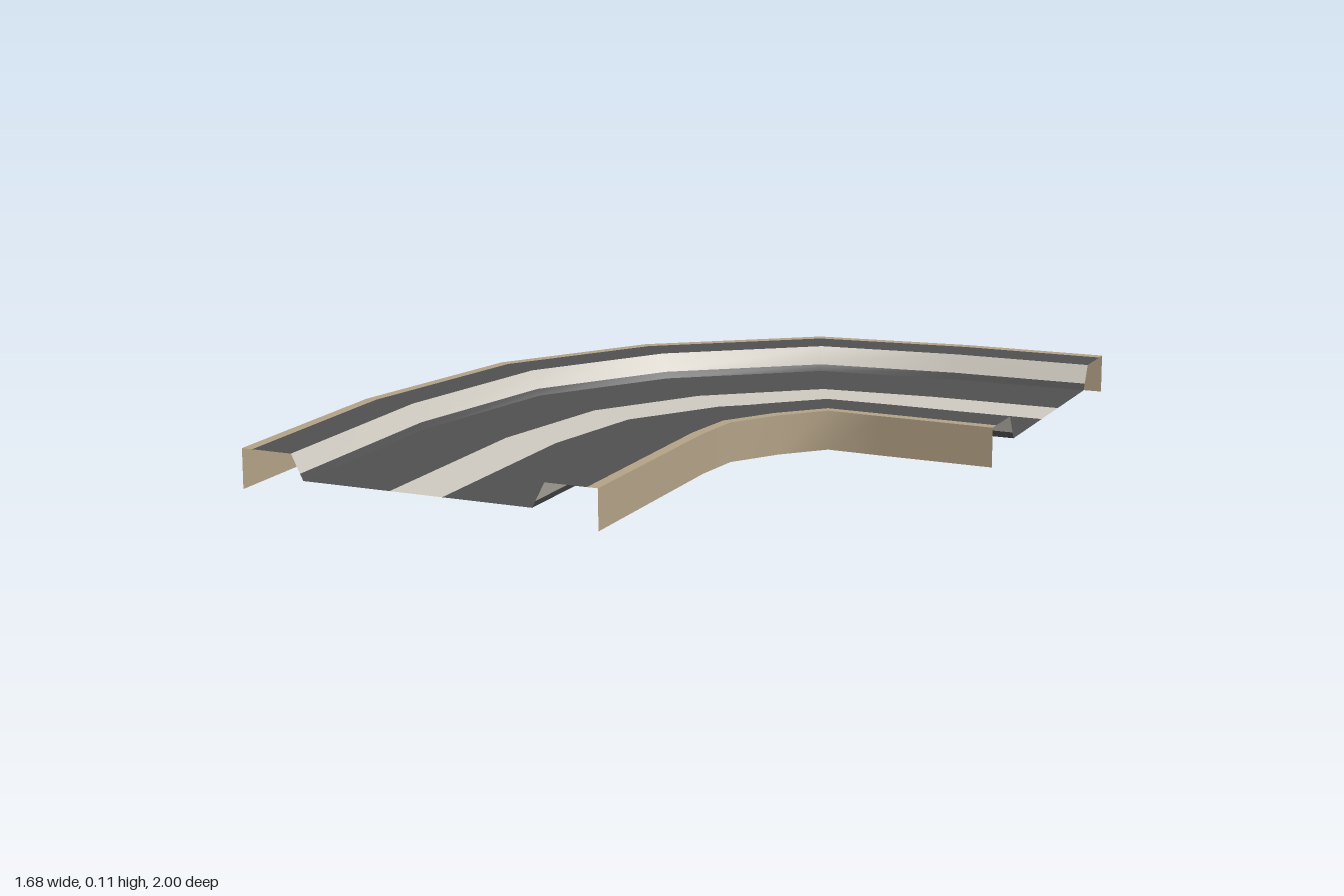
import * as THREE from 'three';

export function createModel() {
  const asphalt = new THREE.MeshStandardMaterial({ color: 0x505050, side: THREE.DoubleSide });
  asphalt.name = 'asphalt';
  const paint = new THREE.MeshStandardMaterial({ color: 0xcfcac0, side: THREE.DoubleSide });
  paint.name = 'pale paint';
  const stone = new THREE.MeshStandardMaterial({ color: 0xb3a286, side: THREE.DoubleSide });
  stone.name = 'tan stone';

  // Stations along the bend: outer edge x, z then inner edge x, z
  const stations = [
    [-0.84, 1, 0.17, 1],
    [-0.84, 0.375, 0.17, 0.375],
    [-0.725, -0.2, 0.185, 0.23],
    [-0.455, -0.605, 0.27, 0.1],
    [-0.02, -0.925, 0.37, -0.005],
    [0.43, -0.985, 0.52, 0.0],
    [0.838, -1, 0.838, 0.005],
  ];

  // Sweeps a strip with profile points [fraction across, height] along the bend
  function strip(name, profile, material) {
    const positions = [], indices = [], n = profile.length;
    stations.forEach(([ox, oz, ix, iz], s) => {
      profile.forEach(([t, y], p) => {
        positions.push(ox + (ix - ox) * t, y, oz + (iz - oz) * t);
        if (s < stations.length - 1 && p < n - 1) {
          const a = s * n + p, b = a + 1, c = a + n, d = c + 1;
          indices.push(a, b, c, b, d, c);
        }
      });
    });
    const geometry = new THREE.BufferGeometry();
    geometry.setAttribute('position', new THREE.Float32BufferAttribute(positions, 3));
    geometry.setIndex(indices);
    geometry.computeVertexNormals();
    const mesh = new THREE.Mesh(geometry, material);
    mesh.name = name;
    return mesh;
  }

  const top = 0.108, gutter = 0.058, road = 0.04;
  const halves = [
    ['SideWall', [[0, 0], [0, top]], stone],
    ['WallCap', [[0, top], [0.03, top]], stone],
    ['Pavement', [[0.03, top], [0.144, top]], asphalt],
    ['Kerb', [[0.144, top], [0.169, gutter]], paint],
    ['Gutter', [[0.169, gutter], [0.178, road]], asphalt],
    ['Lane', [[0.178, road], [0.426, road]], asphalt],
  ];

  const group = new THREE.Group();
  group.name = 'roadBend';
  // Outer half, then the same profile mirrored across the centre line
  for (const [name, profile, material] of halves) {
    const mirrored = profile.map(([t, y]) => [1 - t, y]).reverse();
    group.add(strip('outer' + name, profile, material));
    group.add(strip('inner' + name, mirrored, material));
  }
  group.add(strip('centreStripe', [[0.426, road], [0.574, road]], paint));
  return group;
}
